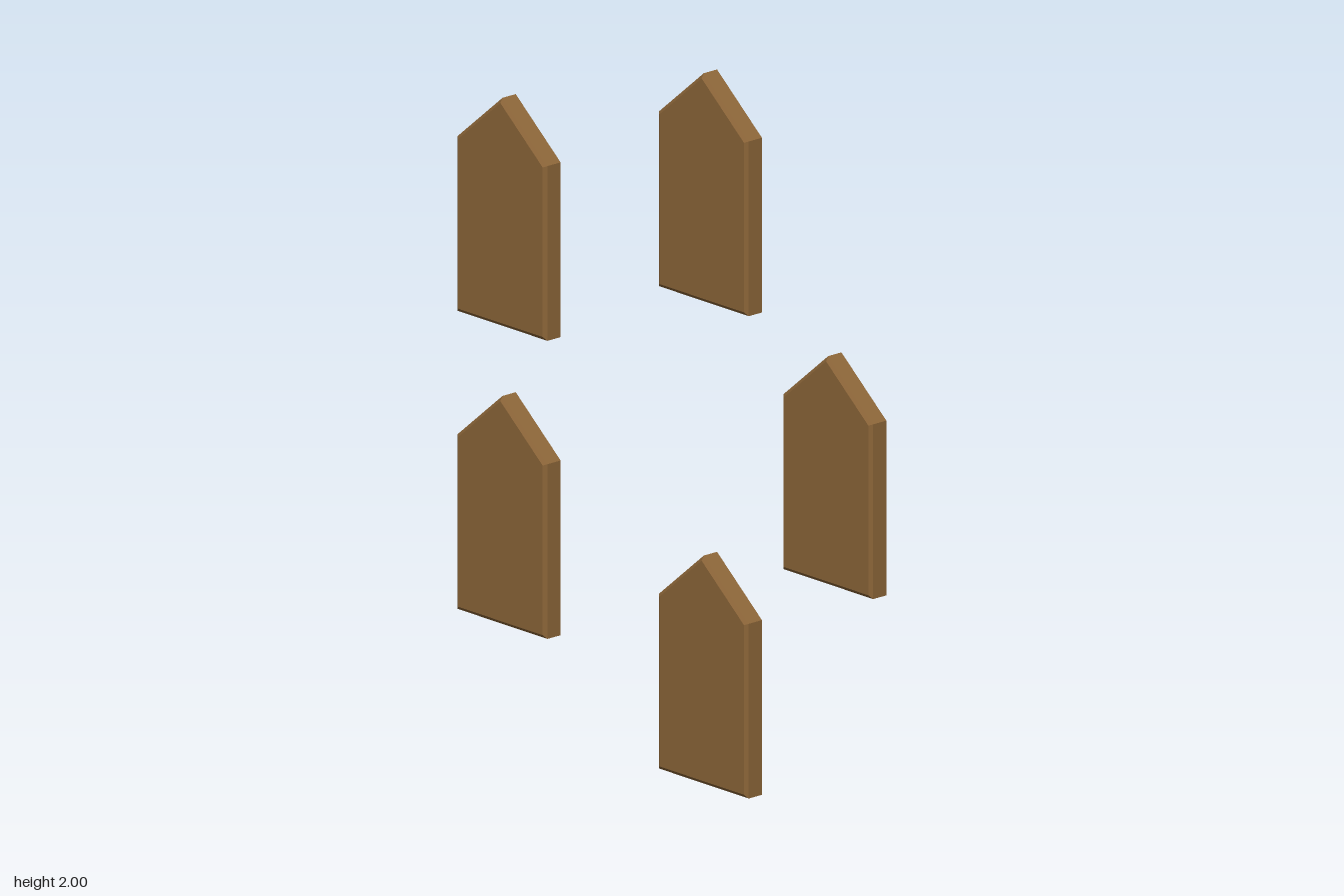
import * as THREE from 'three';

const COUNT = 5;
const RADIUS = 0.714;
const CENTER_X = -0.069;
const BASE_Y = 0.679;
const BEVEL = 0.01;
const BEVEL_DEPTH = 0.008;
const THICKNESS = 0.064;

// Pointed board with chamfered edges, standing on its own y = 0
function boardGeometry() {
  const shape = new THREE.Shape([
    new THREE.Vector2(-0.178, 0),
    new THREE.Vector2(0.178, 0),
    new THREE.Vector2(0.178, 0.492),
    new THREE.Vector2(0, 0.642),
    new THREE.Vector2(-0.178, 0.492),
  ]);
  const depth = THICKNESS - 2 * BEVEL_DEPTH;
  const geometry = new THREE.ExtrudeGeometry(shape, {
    depth,
    bevelEnabled: true,
    bevelSegments: 1,
    bevelSize: BEVEL,
    bevelOffset: -BEVEL,
    bevelThickness: BEVEL_DEPTH,
  });
  geometry.translate(0, 0, -depth / 2);
  return geometry;
}

export function createModel() {
  const model = new THREE.Group();
  model.name = 'boardRing';

  const wood = new THREE.MeshStandardMaterial({ color: 0x8b6538 });
  wood.name = 'brown wood';

  // Upright boards spaced evenly round a ring
  const geometry = boardGeometry();
  for (let i = 0; i < COUNT; i++) {
    const angle = (i / COUNT) * Math.PI * 2;
    const board = new THREE.Mesh(geometry, wood);
    board.name = `pointedBoard${i + 1}`;
    board.position.set(CENTER_X + RADIUS * Math.cos(angle), BASE_Y + RADIUS * Math.sin(angle), 0);
    model.add(board);
  }
  return model;
}
